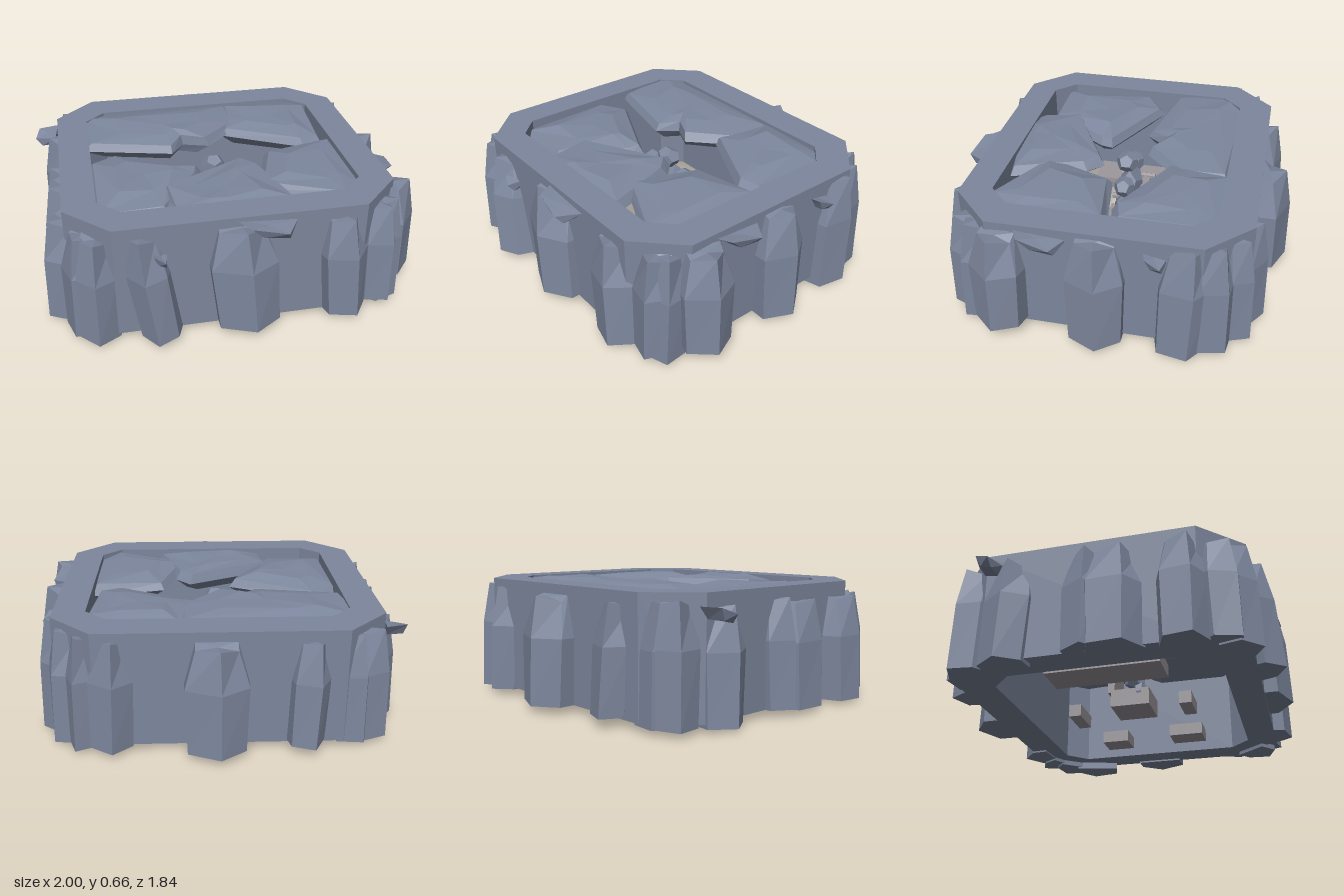
import * as THREE from 'three';

const rock = new THREE.MeshStandardMaterial({ color: 0x7d879d, flatShading: true });
const stone = new THREE.MeshStandardMaterial({ color: 0x9c989c, flatShading: true });

let seed = 7;
const jitter = (a) => {
  seed = (seed * 16807) % 2147483647;
  return (seed / 2147483647 - 0.5) * 2 * a;
};

// Skin a stack of [x, y, z] rings, listed bottom to top, and cap both ends
function loft(rings) {
  const n = rings[0].length, pos = [];
  const area = rings[0].reduce((s, p, i) => {
    const q = rings[0][(i + 1) % n];
    return s + p[0] * q[2] - q[0] * p[2];
  }, 0);
  if (area > 0) rings = rings.map((r) => [...r].reverse());
  const mid = (r) => [0, 1, 2].map((k) => r.reduce((s, p) => s + p[k], 0) / n);
  const lo = rings[0], hi = rings[rings.length - 1], cLo = mid(lo), cHi = mid(hi);
  for (let i = 0; i < n; i++) {
    const j = (i + 1) % n;
    for (let k = 0; k < rings.length - 1; k++) {
      const a = rings[k], b = rings[k + 1];
      pos.push(...a[i], ...a[j], ...b[j], ...a[i], ...b[j], ...b[i]);
    }
    pos.push(...cHi, ...hi[i], ...hi[j], ...cLo, ...lo[j], ...lo[i]);
  }
  const g = new THREE.BufferGeometry();
  g.setAttribute('position', new THREE.Float32BufferAttribute(pos, 3));
  g.computeVertexNormals();
  return g;
}

function add(parent, name, geometry, material, x = 0, y = 0, z = 0) {
  const m = new THREE.Mesh(geometry, material);
  m.name = name;
  m.position.set(x, y, z);
  parent.add(m);
  return m;
}

// Rectangle with cut corners, counter-clockwise in the shape plane
function octagon(x0, x1, z0, z1, c) {
  return [[x0, z0 + c], [x0, z1 - c], [x0 + c, z1], [x1 - c, z1],
    [x1, z1 - c], [x1, z0 + c], [x1 - c, z0], [x0 + c, z0]].map(([x, z]) => new THREE.Vector2(x, -z));
}

// Angular boulder with its ridge at (x, z), facing outward by angle
function pillar(x, z, width, degrees, y0, y1, lean) {
  const a = THREE.MathUtils.degToRad(degrees), depth = 0.18;
  const plan = [[-0.5, -1], [0.5, -1], [0.5, -0.5], [0.06, 0], [-0.5, -0.38]];
  const ring = (y, s, back, shift) => plan.map(([t, o]) => {
    const u = t * width * s + shift, v = o * depth - (o > -1 ? back : 0);
    return [x + u * Math.cos(a) + v * Math.sin(a), y, z - u * Math.sin(a) + v * Math.cos(a)];
  });
  const top = ring(y1, 0.66, 0.05, lean);
  top[2][1] -= 0.035;
  top[4][1] -= 0.02;
  return loft([ring(y0, 0.92, 0, -lean / 2), ring(y0 + (y1 - y0) * 0.62, 1, 0.01, lean / 2), top]);
}

// Broad roof slab: bevelled underside, irregular rim and a raised crown
function slab(outline, rimY, crownY) {
  const n = outline.length;
  const cx = outline.reduce((s, p) => s + p[0], 0) / n;
  const cz = outline.reduce((s, p) => s + p[1], 0) / n;
  const ring = (s, y, j) => outline.map(([x, z]) => [cx + (x - cx) * s, y + jitter(j), cz + (z - cz) * s]);
  return loft([ring(0.75, rimY - 0.09, 0.01), ring(1, rimY - 0.03, 0.01), ring(0.9, rimY + 0.015, 0.01), ring(0.5, crownY, 0.01)]);
}

export function createModel() {
  seed = 7;
  const model = new THREE.Group();
  model.name = 'rockEnclosure';

  // Ring wall with an open middle
  const shape = new THREE.Shape(octagon(-0.87, 0.83, -0.745, 0.775, 0.22));
  shape.holes.push(new THREE.Path(octagon(-0.7, 0.66, -0.56, 0.61, 0.11).reverse()));
  const wall = new THREE.ExtrudeGeometry(shape, { depth: 0.61, bevelEnabled: false });
  wall.rotateX(-Math.PI / 2);
  add(model, 'ringWall', wall, rock, 0, 0.04, 0);

  // Boulders around the wall: x, z, width, facing, bottom, top, sideways lean
  const pillars = new THREE.Group();
  pillars.name = 'outerPillars';
  model.add(pillars);
  [
    [-0.5, 0.9, 0.2, -20, 0.04, 0.6, -0.06], [0, 0.915, 0.34, 0, 0.05, 0.61, -0.03], [0.55, 0.88, 0.25, 14, 0.04, 0.6, -0.02],
    [0.76, 0.8, 0.2, 20, 0.05, 0.6, 0], [0.84, 0.72, 0.22, 50, 0.02, 0.6, 0.01],
    [0.99, 0.53, 0.27, 75, 0.08, 0.61, 0], [0.975, 0, 0.29, 90, 0.03, 0.63, 0],
    [0.92, -0.47, 0.28, 105, 0.0, 0.63, 0.02], [0.84, -0.65, 0.24, 130, 0.01, 0.62, 0], [0.72, -0.77, 0.16, 150, 0.02, 0.62, 0],
    [0.53, -0.83, 0.23, 176, 0.03, 0.61, 0.01], [0, -0.92, 0.32, 180, 0.04, 0.6, 0], [-0.49, -0.855, 0.2, 194, 0.05, 0.6, 0.02],
    [-0.74, -0.76, 0.22, 205, 0.03, 0.61, 0], [-0.87, -0.7, 0.22, 232, 0.03, 0.62, 0], [-0.97, -0.42, 0.25, 262, 0.02, 0.59, 0.01],
    [-0.97, 0, 0.22, 270, 0.04, 0.6, 0], [-0.985, 0.2, 0.3, 290, 0.03, 0.58, 0], [-0.995, 0.53, 0.24, 290, 0.02, 0.58, 0],
    [-0.87, 0.74, 0.22, 318, 0.03, 0.58, 0], [-0.76, 0.83, 0.22, 345, 0.02, 0.58, 0],
  ].forEach((p) => add(pillars, 'pillar', pillar(...p), rock));

  // Thin shards wedged under the wall top: x, y, z, length, facing
  [[0.1, 0.6, 0.8, 0.32, 0], [0.84, 0.59, 0.28, 0.3, 90], [0.82, 0.55, -0.29, 0.14, 90],
    [-0.92, 0.56, -0.5, 0.14, 270], [-0.43, 0.48, 0.76, 0.1, 0]].forEach(([x, y, z, l, a]) => {
    const g = loft([
      [[-0.2 * l, -0.03, -0.04], [-0.1 * l, -0.03, 0.05], [0.3 * l, -0.045, 0.05], [0.3 * l, -0.04, -0.04]],
      [[-0.5 * l, 0.03, -0.05], [-0.3 * l, 0.03, 0.06], [0.25 * l, 0, 0.085], [0.48 * l, 0.01, -0.03]],
    ]);
    add(model, 'shard', g, rock, x, y, z).rotation.y = THREE.MathUtils.degToRad(a);
  });

  // Overlapping roof slabs around the central gap
  const roof = new THREE.Group();
  roof.name = 'roofSlabs';
  model.add(roof);
  [
    [[[-0.79, -0.55], [-0.6, -0.6], [0.2, -0.57], [0.2, -0.32], [-0.02, -0.1], [-0.16, -0.17], [-0.24, -0.06], [-0.73, -0.17]], 0.62, 0.655],
    [[[0.14, -0.6], [0.6, -0.58], [0.67, -0.48], [0.64, -0.04], [0.52, -0.01], [0.08, -0.24], [0.1, -0.35]], 0.615, 0.655],
    [[[-0.72, 0], [-0.58, -0.1], [-0.11, 0.13], [-0.13, 0.2], [-0.36, 0.56], [-0.72, 0.57]], 0.59, 0.635],
    [[[-0.36, 0.37], [0.12, 0.12], [0.2, 0.2], [0.32, 0.6], [-0.04, 0.68], [-0.23, 0.68], [-0.34, 0.6]], 0.615, 0.65],
    [[[0.27, 0.04], [0.67, -0.02], [0.68, 0.52], [0.57, 0.64], [0.14, 0.43]], 0.61, 0.65],
  ].forEach(([outline, rim, crown]) => add(roof, 'roofSlab', slab(outline, rim, crown), rock));

  // Stone benches inside: x, z, width, depth
  [[-0.54, 0.02, 0.2, 0.6], [0.5, -0.2, 0.15, 0.16], [0.48, 0.25, 0.15, 0.2], [0, 0.34, 0.18, 0.07], [0.05, -0.31, 0.2, 0.07]]
    .forEach(([x, z, w, d]) => add(model, 'bench', new THREE.BoxGeometry(w, 0.07, d), stone, x, 0.095, z));

  // Seat with a back and two rails
  const seat = new THREE.Group();
  seat.name = 'seat';
  model.add(seat);
  add(seat, 'seatBlock', new THREE.BoxGeometry(0.22, 0.1, 0.22), stone, 0, 0.12, 0.03);
  add(seat, 'seatBack', new THREE.BoxGeometry(0.2, 0.24, 0.04), stone, 0, 0.28, -0.08);
  for (const s of [-1, 1]) {
    add(seat, 'rail', new THREE.CylinderGeometry(0.018, 0.018, 0.2, 6), stone, s * 0.12 - 0.02, 0.38, -0.02).rotation.x = Math.PI / 2;
  }

  // Seated stone figure
  const figure = new THREE.Group();
  figure.name = 'stoneFigure';
  model.add(figure);
  const lump = (name, x, y, z, sx, sy, sz) =>
    add(figure, name, new THREE.DodecahedronGeometry(1), rock, x, y, z).scale.set(sx, sy, sz);
  lump('torso', -0.02, 0.38, 0, 0.11, 0.13, 0.07);
  lump('head', -0.02, 0.54, 0.02, 0.07, 0.06, 0.065);
  for (const s of [-1, 1]) {
    lump('shoulder', s * 0.14 - 0.02, 0.46, 0.01, 0.065, 0.06, 0.06);
    lump('forearm', s * 0.15 - 0.02, 0.32, 0.02, 0.04, 0.1, 0.045);
    lump('thigh', s * 0.06 - 0.02, 0.22, 0.05, 0.045, 0.04, 0.06);
    lump('shin', s * 0.06 - 0.02, 0.15, 0.08, 0.035, 0.08, 0.035);
  }
  return model;
}
